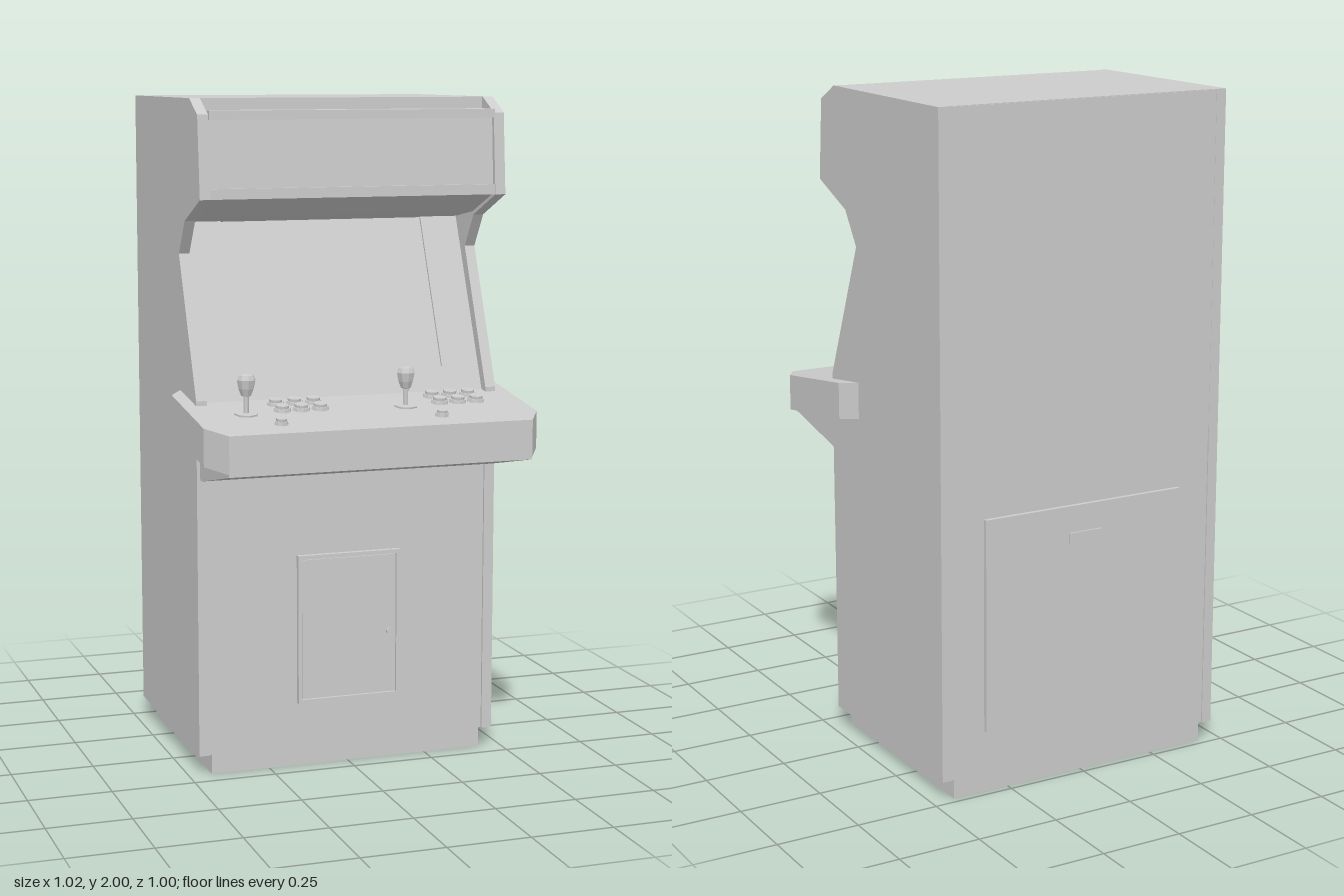
import * as THREE from 'three';

const material = new THREE.MeshStandardMaterial({ color: 0xcccccc, flatShading: true });

function add(parent, name, geometry, x = 0, y = 0, z = 0) {
  const mesh = new THREE.Mesh(geometry, material);
  mesh.name = name;
  mesh.position.set(x, y, z);
  parent.add(mesh);
  return mesh;
}

const polygon = (points) => new THREE.Shape(points.map(([a, b]) => new THREE.Vector2(a, b)));
const extrude = (shape, depth) => new THREE.ExtrudeGeometry(shape, { depth, bevelEnabled: false });

// Box given by its lower and upper limits on each axis
function block(parent, name, [x0, x1], [y0, y1], [z0, z1]) {
  return add(parent, name, new THREE.BoxGeometry(x1 - x0, y1 - y0, z1 - z0),
    (x0 + x1) / 2, (y0 + y1) / 2, (z0 + z1) / 2);
}

// Side outline of (z, y) points swept across x
function sweep(parent, name, points, x0, x1) {
  const geometry = extrude(polygon(points), x1 - x0).rotateY(-Math.PI / 2);
  return add(parent, name, geometry, x1);
}

// Rectangular frame in the xy plane
function frame(w, y0, y1, holeW, h0, h1, depth) {
  const rect = (hw, a, b) => [[-hw, a], [hw, a], [hw, b], [-hw, b]];
  const shape = polygon(rect(w, y0, y1));
  shape.holes.push(polygon(rect(holeW, h0, h1)));
  return extrude(shape, depth);
}

// Height of the sloping control deck
const SLOPE = 0.135;
const deckY = (z) => 1.075 + (0.5 - z) * SLOPE;

function button(parent, x, z, r) {
  const group = new THREE.Group();
  group.name = 'button';
  group.position.set(x, deckY(z), z);
  group.rotation.x = Math.atan(SLOPE);
  add(group, 'buttonCollar', new THREE.CylinderGeometry(r * 0.9, r, 0.01, 8), 0, 0.005);
  add(group, 'buttonPlunger', new THREE.CylinderGeometry(r * 0.74, r * 0.74, 0.012, 12), 0, 0.012);
  parent.add(group);
}

function joystick(parent, x, z) {
  const group = new THREE.Group();
  group.name = 'joystick';
  group.position.set(x, deckY(z), z);
  const plate = add(group, 'joystickPlate', new THREE.CylinderGeometry(0.036, 0.036, 0.006, 8), 0, 0.002);
  plate.rotation.x = Math.atan(SLOPE);
  add(group, 'joystickShaft', new THREE.CylinderGeometry(0.008, 0.008, 0.07, 8), 0, 0.03);
  const knob = [[0, 0.05], [0.015, 0.054], [0.023, 0.075], [0.028, 0.1], [0.022, 0.114], [0, 0.119]];
  add(group, 'joystickKnob', new THREE.LatheGeometry(knob.map(([r, y]) => new THREE.Vector2(r, y)), 8));
  parent.add(group);
}

export function createModel() {
  const model = new THREE.Group();
  model.name = 'arcadeCabinet';

  // Plinth, inner body and the two outline panels
  block(model, 'plinth', [-0.43, 0.43], [0, 0.07], [-0.478, 0.187]);
  sweep(model, 'body', [
    [-0.481, 0.06], [0.188, 0.06], [0.188, 1.1], [0.16, 1.1], [-0.07, 1.63], [0.08, 1.655],
    [0.238, 1.718], [0.222, 1.955], [0.145, 1.955], [0.145, 2], [-0.481, 2],
  ], -0.442, 0.442);
  const outline = [
    [-0.485, 0.06], [0.195, 0.06], [0.195, 1.13], [0.02, 1.545], [0.087, 1.645],
    [0.255, 1.715], [0.235, 1.955], [0.15, 2], [-0.485, 2],
  ];
  sweep(model, 'leftSidePanel', outline, 0.438, 0.47);
  sweep(model, 'rightSidePanel', outline, -0.47, -0.438);

  // Marquee trim
  block(model, 'marqueeLedge', [-0.438, 0.438], [1.94, 1.966], [0.14, 0.244]);
  block(model, 'marqueeLowerTrim', [-0.438, 0.438], [1.715, 1.745], [0.215, 0.25]);

  // Leaning screen surround
  const display = new THREE.Group();
  display.name = 'display';
  display.position.set(0, 1.1, 0.16);
  display.rotation.x = -Math.atan(0.434);
  add(display, 'bezel', frame(0.438, 0, 0.6, 0.32, 0.095, 0.575, 0.013));
  block(display, 'screen', [-0.32, 0.32], [0.095, 0.575], [-0.005, 0.006]);
  model.add(display);

  // Control deck that wraps round the sides, sheared to its slope
  const half = [[0.47, 0.02], [0.51, 0.07], [0.51, 0.415], [0.46, 0.5]];
  const plan = [...half, ...half.map(([x, z]) => [-x, z]).reverse()];
  const deck = extrude(polygon(plan.map(([x, z]) => [x, -z])), 0.11).rotateX(-Math.PI / 2);
  const p = deck.attributes.position;
  for (let i = 0; i < p.count; i++) p.setY(i, p.getY(i) + deckY(p.getZ(i)) - 0.11);
  deck.computeVertexNormals();
  add(model, 'controlDeck', deck);
  sweep(model, 'deckSupport', [[0.18, 0.91], [0.205, 0.895], [0.497, 0.957], [0.497, 0.968], [0.18, 1.01]],
    -0.46, 0.46);

  // Two identical sets of controls
  for (const x of [-0.35, 0.14]) {
    joystick(model, x, 0.3);
    for (const z of [0.285, 0.22]) {
      for (const dx of [0.113, 0.171, 0.229]) button(model, x + dx, z, 0.027);
    }
    button(model, x + 0.07, 0.413, 0.021);
  }

  // Front coin door
  add(model, 'coinDoorFrame', frame(0.162, 0.195, 0.65, 0.15, 0.207, 0.638, 0.02), 0, 0, 0.185);
  block(model, 'coinDoor', [-0.148, 0.148], [0.209, 0.636], [0.185, 0.202]);
  const lock = add(model, 'coinDoorLock', new THREE.CylinderGeometry(0.008, 0.008, 0.012, 8), 0.125, 0.4, 0.205);
  lock.rotation.x = Math.PI / 2;

  // Rear panel, service door and its pull
  block(model, 'upperBackPanel', [-0.438, 0.438], [0.99, 1.998], [-0.484, -0.47]);
  block(model, 'serviceDoor', [-0.33, 0.33], [0.19, 0.83], [-0.494, -0.47]);
  block(model, 'serviceDoorPull', [-0.055, 0.055], [0.72, 0.75], [-0.5, -0.48]);

  return model;
}
